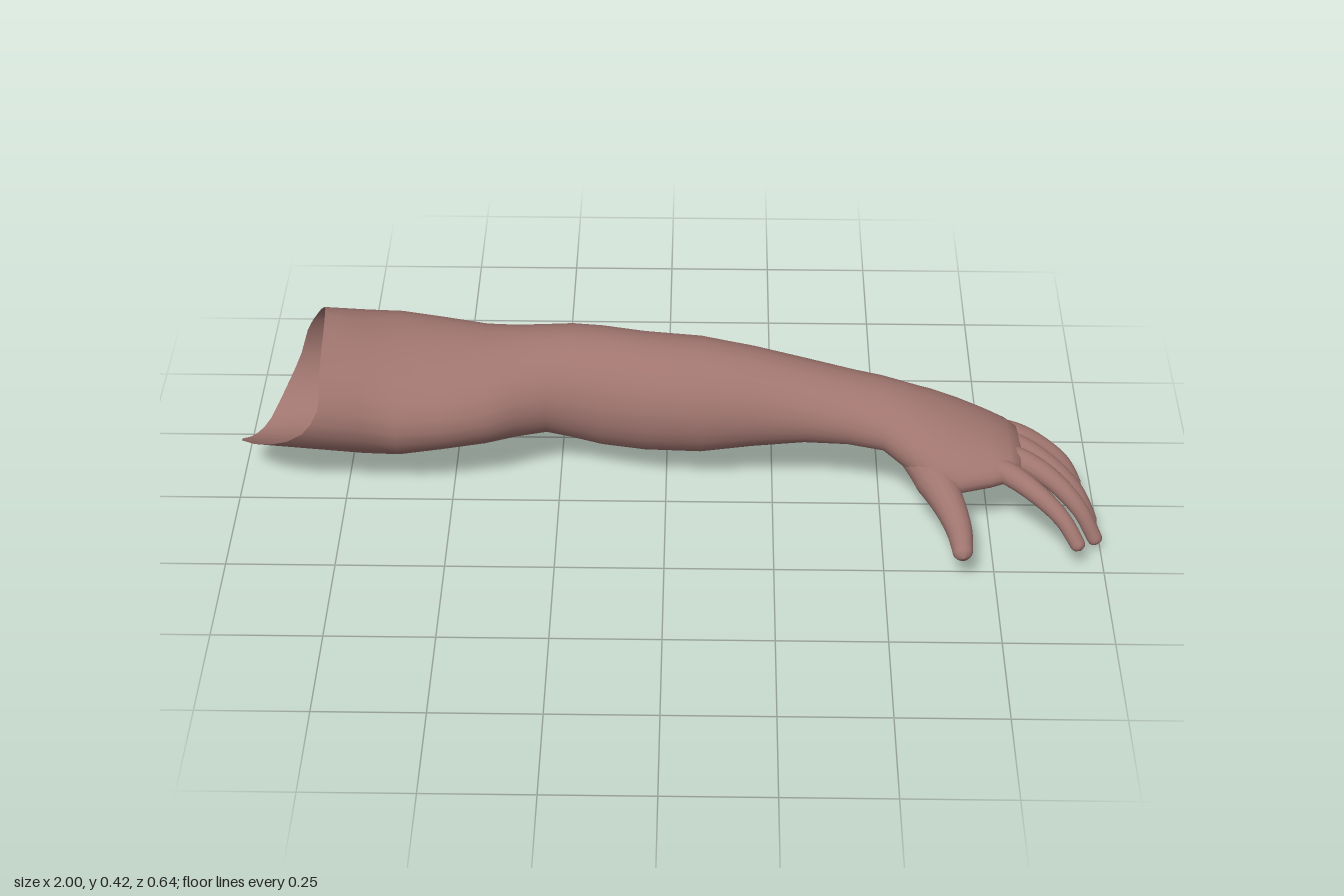
import * as THREE from 'three';
import { mergeVertices } from 'three/addons/utils/BufferGeometryUtils.js';

const SIDES = 28;
const skin = new THREE.MeshStandardMaterial({ color: 0xa0756f, side: THREE.DoubleSide });

// Skin a list of rings (arrays of SIDES points) and close the far end
function loft(rings, endCap) {
  const pos = [], index = [];
  rings.forEach(r => r.forEach(p => pos.push(p.x, p.y, p.z)));
  for (let i = 0; i < rings.length - 1; i++) {
    for (let j = 0; j < SIDES; j++) {
      const k = (j + 1) % SIDES;
      const a = i * SIDES + j, b = i * SIDES + k, c = a + SIDES, d = b + SIDES;
      index.push(a, c, b, b, c, d);
    }
  }
  const last = (rings.length - 1) * SIDES;
  pos.push(endCap.x, endCap.y, endCap.z);
  for (let j = 0; j < SIDES; j++) index.push(last + j, last + SIDES, last + (j + 1) % SIDES);
  const geo = new THREE.BufferGeometry();
  geo.setAttribute('position', new THREE.Float32BufferAttribute(pos, 3));
  geo.setIndex(index);
  geo.computeVertexNormals();
  return geo;
}

// Oval cross-section from its extents; roll lifts the +z side, lean fills out the back
function oval([x, bottom, top, back, front, roll, lean]) {
  const cy = (top + bottom) / 2, cz = (back + front) / 2, rz = (front - back) / 2;
  const half = (top - bottom) / 2;
  const ry = Math.sqrt(half * half - (roll * rz) ** 2);
  return Array.from({ length: SIDES }, (_, j) => {
    const t = j / SIDES * Math.PI * 2, s = Math.sin(t), c = Math.cos(t);
    return new THREE.Vector3(x, cy + ry * s + roll * rz * c, cz + rz * (c - lean * s * s));
  });
}

// Tapered, round-tipped digit along a curve
function digit(name, points, radii) {
  const curve = new THREE.CatmullRomCurve3(points.map(p => new THREE.Vector3(...p)));
  const steps = 72, length = curve.getLength(), tip = radii[radii.length - 1];
  let geo = new THREE.TubeGeometry(curve, steps, 1, 14, false);
  const pos = geo.attributes.position, v = new THREE.Vector3();
  for (let i = 0; i < pos.count; i++) {
    const t = Math.floor(i / 15) / steps;
    const c = curve.getPointAt(t);
    const f = t * (radii.length - 1), k = Math.min(Math.floor(f), radii.length - 2);
    let r = THREE.MathUtils.lerp(radii[k], radii[k + 1], f - k);
    const left = (1 - t) * length;
    if (left < tip) r *= Math.sqrt(Math.max(0.0004, 1 - (1 - left / tip) ** 2));
    v.fromBufferAttribute(pos, i).sub(c).multiplyScalar(r).add(c);
    pos.setXYZ(i, v.x, v.y, v.z);
  }
  geo.deleteAttribute('uv');
  geo.deleteAttribute('normal');
  geo = mergeVertices(geo, 1e-6);
  geo.computeVertexNormals();
  const mesh = new THREE.Mesh(geo, skin);
  mesh.name = name;
  return mesh;
}

export function createModel() {
  const group = new THREE.Group();
  group.name = 'arm';

  // Slanted open edge at the shoulder, from the front side over the top
  const rimCurve = new THREE.CatmullRomCurve3([
    [-0.83, 0.235, 0.068], [-0.79, 0.3, 0.06], [-0.788, 0.365, 0.005], [-0.787, 0.418, -0.13],
    [-0.795, 0.405, -0.2], [-0.82, 0.35, -0.262], [-0.855, 0.275, -0.302], [-0.88, 0.19, -0.319],
    [-0.92, 0.11, -0.285], [-0.955, 0.066, -0.21], [-0.98, 0.072, -0.15], [-1, 0.11, -0.08],
    [-0.92, 0.165, 0.015],
  ].map(p => new THREE.Vector3(...p)), true);
  const rim = Array.from({ length: SIDES }, (_, j) => rimCurve.getPoint(j / SIDES));

  // Sections: x, bottom, top, back, front, roll, lean
  const sections = [
    [-0.7, 0.062, 0.394, -0.314, 0.052, 0.05, 0.2],
    [-0.62, 0.064, 0.378, -0.31, 0.05, 0, 0.3],
    [-0.52, 0.083, 0.367, -0.297, 0.043, 0, 0.3],
    [-0.42, 0.095, 0.361, -0.278, 0.02, 0, 0.25],
    [-0.35, 0.103, 0.363, -0.275, -0.012, 0, 0.15],
    [-0.28, 0.109, 0.366, -0.281, -0.035, 0, 0.05],
    [-0.22, 0.093, 0.369, -0.289, -0.037, 0, 0],
    [-0.15, 0.08, 0.369, -0.284, -0.025, 0, 0],
    [-0.05, 0.083, 0.369, -0.262, -0.002, 0, 0],
    [0.08, 0.088, 0.369, -0.242, 0.008, 0, 0],
    [0.2, 0.113, 0.352, -0.218, 0.008, 0, 0],
    [0.32, 0.145, 0.332, -0.182, 0.018, -0.05, 0],
    [0.42, 0.162, 0.318, -0.151, 0.037, -0.1, 0],
    [0.5, 0.172, 0.309, -0.122, 0.06, -0.2, 0],
    [0.55, 0.15, 0.298, -0.112, 0.095, -0.26, 0],
    [0.61, 0.127, 0.281, -0.11, 0.143, -0.26, 0],
    [0.67, 0.122, 0.262, -0.11, 0.158, -0.17, 0],
    [0.74, 0.128, 0.241, -0.1, 0.15, -0.05, 0],
    [0.785, 0.137, 0.224, -0.085, 0.137, 0, 0],
    [0.81, 0.15, 0.207, -0.066, 0.113, 0.03, 0],
  ];
  const body = new THREE.Mesh(
    loft([rim, ...sections.map(oval)], new THREE.Vector3(0.82, 0.178, 0.02)), skin);
  body.name = 'armAndPalm';
  group.add(body);

  // Fingers and thumb, rooted inside the palm
  const taper = [0.018, 0.028, 0.027, 0.023, 0.019, 0.017];
  const hand = new THREE.Group();
  hand.name = 'digits';
  hand.add(
    digit('littleFinger', [[0.7, 0.185, -0.055], [0.8, 0.166, -0.06], [0.87, 0.133, -0.055], [0.925, 0.09, -0.045], [0.963, 0.024, -0.032]], taper),
    digit('ringFinger', [[0.68, 0.19, -0.03], [0.8, 0.178, 0], [0.88, 0.146, 0.035], [0.945, 0.09, 0.062], [0.99, 0.001, 0.079]], taper),
    digit('middleFinger', [[0.67, 0.19, 0.01], [0.8, 0.184, 0.06], [0.88, 0.158, 0.105], [0.945, 0.103, 0.145], [0.992, 0.02, 0.17]], taper),
    digit('indexFinger', [[0.66, 0.188, 0.05], [0.77, 0.186, 0.115], [0.84, 0.166, 0.17], [0.9, 0.125, 0.215], [0.943, 0.064, 0.25]], taper),
    digit('thumb', [[0.53, 0.205, 0.0], [0.59, 0.175, 0.075], [0.635, 0.145, 0.155], [0.664, 0.112, 0.23], [0.672, 0.092, 0.319]],
      [0.02, 0.04, 0.046, 0.037, 0.029, 0.021]),
  );
  group.add(hand);
  return group;
}
